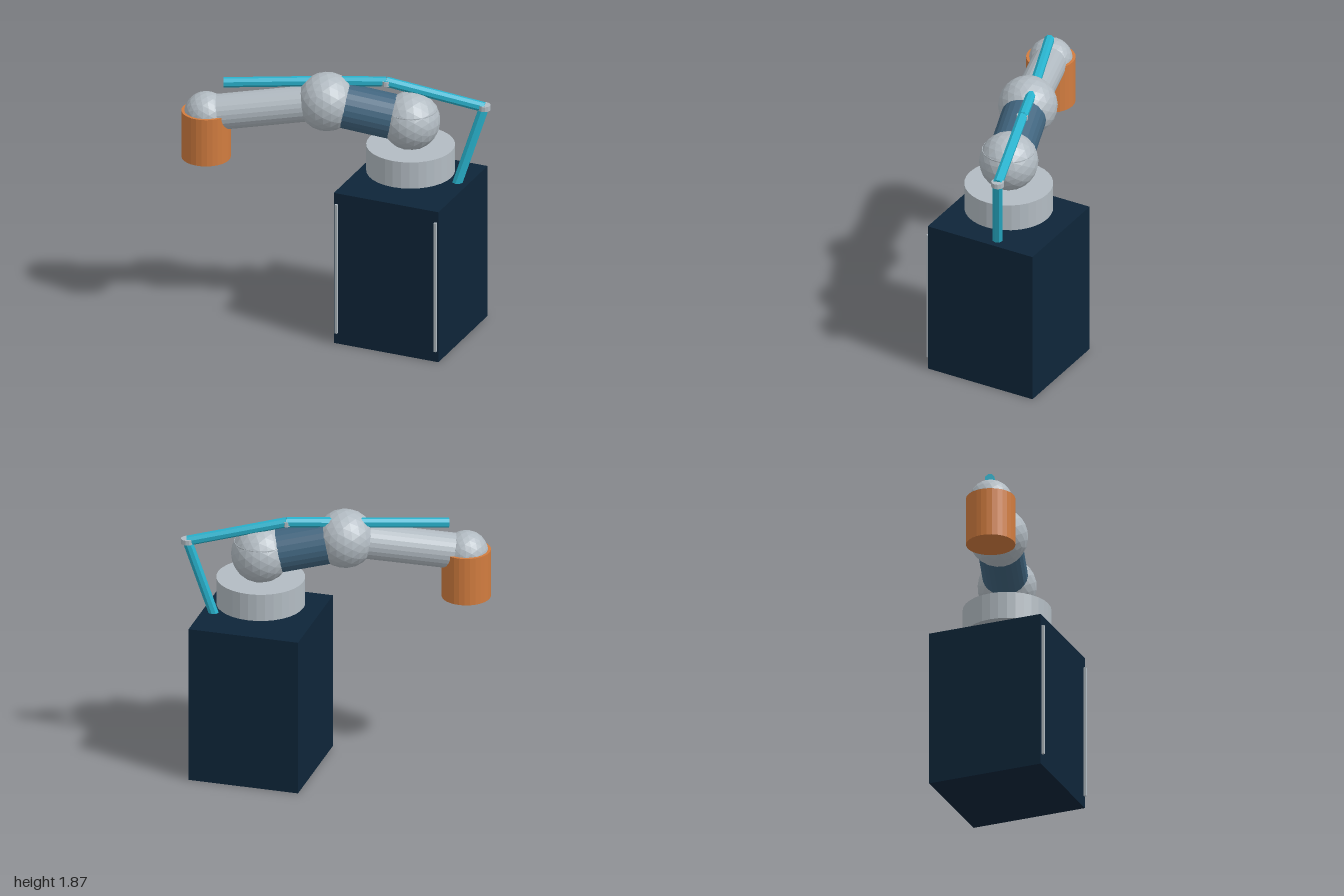
import * as THREE from 'three';

const mat = (name, color) => {
  const m = new THREE.MeshStandardMaterial({ color, flatShading: true });
  m.name = name;
  return m;
};

export function createModel() {
  const group = new THREE.Group();
  const navy = mat('navy', 0x0e2539);
  const grey = mat('lightGrey', 0xb2bbc2);
  const slate = mat('slateBlue', 0x41657f);
  const orange = mat('orange', 0xd17c3f);
  const teal = mat('teal', 0x29b3ce);

  const V = (x, y, z) => new THREE.Vector3(x, y, z);
  const add = (name, geometry, material, p) => {
    const mesh = new THREE.Mesh(geometry, material);
    mesh.name = name;
    mesh.position.copy(p);
    group.add(mesh);
    return mesh;
  };
  // Cylinder running from point a to point b
  const rod = (name, a, b, r, sides, material) => {
    const dir = b.clone().sub(a);
    const mesh = add(name, new THREE.CylinderGeometry(r, r, dir.length(), sides),
      material, a.clone().add(b).multiplyScalar(0.5));
    mesh.quaternion.setFromUnitVectors(V(0, 1, 0), dir.normalize());
    return mesh;
  };
  const ball = (name, p, r) => add(name, new THREE.IcosahedronGeometry(r, 3), grey, p);

  // Cabinet with two front trim strips
  const cx = 0.492, cz = -0.1;
  add('cabinet', new THREE.BoxGeometry(0.775, 1.12, 0.82), navy, V(cx, 0.56, cz));
  for (const side of [-1, 1]) {
    add(side > 0 ? 'leftTrim' : 'rightTrim', new THREE.BoxGeometry(0.018, 0.96, 0.03),
      grey, V(cx + side * 0.367, 0.56, 0.313));
  }

  // Turntable floating above the cabinet
  add('turntable', new THREE.CylinderGeometry(0.302, 0.302, 0.195, 32), grey, V(cx, 1.2875, cz));

  // Arm joints and links
  const shoulder = V(cx, 1.56, cz);
  const elbow = V(-0.055, 1.67, 0.066);
  const wrist = V(-0.832, 1.552, 0.336);
  ball('shoulder', shoulder, 0.202);
  ball('elbow', elbow, 0.203);
  ball('wrist', wrist, 0.151);
  add('shoulderRing', new THREE.CylinderGeometry(0.181, 0.181, 0.09, 32), grey, V(cx, 1.607, cz));
  rod('upperArm', shoulder, elbow, 0.155, 24, slate);
  rod('forearm', elbow, wrist, 0.123, 24, grey);

  // Tool head hanging from the wrist
  add('toolHead', new THREE.CylinderGeometry(0.168, 0.168, 0.345, 28), orange, V(-0.832, 1.4025, 0.336));

  // Hose along the arm, in straight runs
  const hose = [
    V(0.78, 1.05, -0.18), V(0.957, 1.67, -0.282), V(0.31, 1.815, -0.103),
    V(-0.07, 1.805, 0.03), V(-0.725, 1.78, 0.285),
  ];
  for (let i = 0; i < hose.length - 1; i++) {
    rod('hoseRun' + (i + 1), hose[i], hose[i + 1], 0.035, 8, teal);
  }

  // Clamps at the hose bends
  add('rearClamp', new THREE.CylinderGeometry(0.044, 0.044, 0.036, 12), grey, hose[1]);
  add('midClamp', new THREE.CylinderGeometry(0.038, 0.038, 0.036, 12), grey, V(0.31, 1.81, -0.1));

  return group;
}
